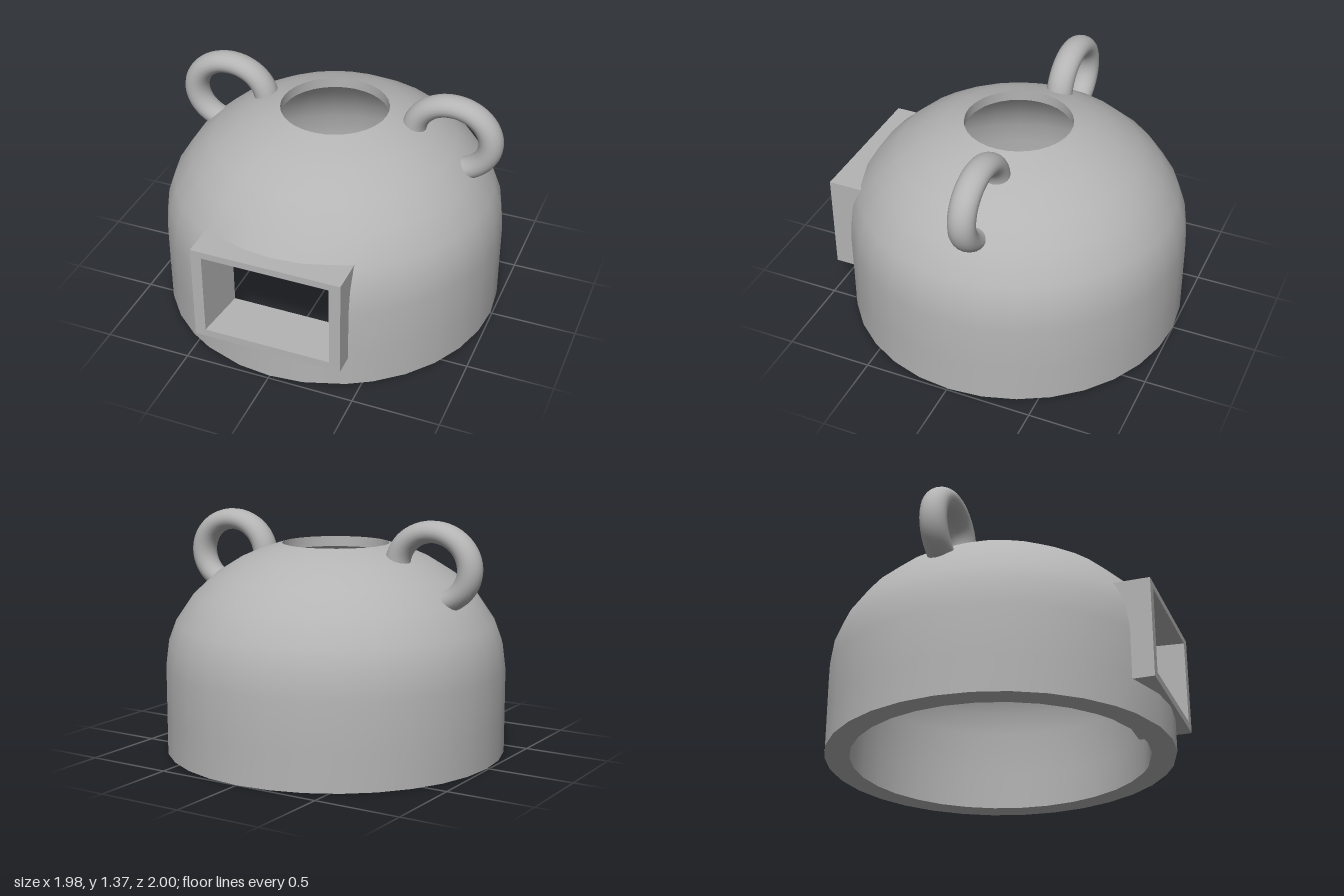
import * as THREE from 'three';
import { toCreasedNormals } from 'three/addons/utils/BufferGeometryUtils.js';

const SIDES = 32, SPRING = 0.49, HOLE = 0.31;
const rad = THREE.MathUtils.degToRad;

// Half profile of one skin: straight wall, then a squashed dome up to the top hole
function skin(radius, rise, cut) {
  const points = [[radius, 0, cut], [radius, 0.21, cut]];
  const end = THREE.MathUtils.radToDeg(Math.acos(HOLE / radius));
  for (const deg of [0, 11.25, 20.5, 33.75, 45, 56.25, 64, end]) {
    points.push([radius * Math.cos(rad(deg)), SPRING + rise * Math.sin(rad(deg)), cut]);
  }
  return points;
}

// Thick shell, open at the bottom, the top and behind the window frame
function shellGeometry() {
  const outer = skin(0.99, 0.75, 25);
  const inner = skin(0.85, 0.7, 27).reverse();
  const profile = [...outer, ...inner];
  const n = profile.length, positions = [], index = [];
  for (const [r, y, cut] of profile) {
    for (let i = 0; i < SIDES; i++) {
      let deg = i * 360 / SIDES;
      if (i === 2) deg = cut;
      if (i === SIDES - 2) deg = 360 - cut;
      positions.push(r * Math.sin(rad(deg)), y, r * Math.cos(rad(deg)));
    }
  }
  // Rings 1 to 4 of each skin bound the window
  const inWindow = (j) => (j >= 1 && j < 4) || (j >= n - 5 && j < n - 2);
  for (let j = 0; j < n; j++) {
    const k = (j + 1) % n;
    for (let i = 0; i < SIDES; i++) {
      if (inWindow(j) && (i < 2 || i >= SIDES - 2)) continue;
      const m = (i + 1) % SIDES;
      const a = j * SIDES + i, b = j * SIDES + m, c = k * SIDES + m, d = k * SIDES + i;
      index.push(a, b, c, a, c, d);
    }
  }
  const geometry = new THREE.BufferGeometry();
  geometry.setAttribute('position', new THREE.Float32BufferAttribute(positions, 3));
  geometry.setIndex(index);
  return toCreasedNormals(geometry, 0.6);
}

// Rectangular frame whose opening narrows slightly towards the back
function frameGeometry() {
  const rectangle = (target, x0, x1, y0, y1) => {
    target.moveTo(x0, y0);
    target.lineTo(x1, y0);
    target.lineTo(x1, y1);
    target.lineTo(x0, y1);
    target.closePath();
    return target;
  };
  const shape = rectangle(new THREE.Shape(), -0.435, 0.43, 0.19, 0.77);
  shape.holes.push(rectangle(new THREE.Path(), -0.372, 0.365, 0.235, 0.73));
  const geometry = new THREE.ExtrudeGeometry(shape, { depth: 0.31, bevelEnabled: false });
  const p = geometry.attributes.position;
  for (let i = 0; i < p.count; i++) {
    if (p.getZ(i) < 0.01 && Math.abs(p.getX(i)) < 0.4) p.setX(i, p.getX(i) * 0.905);
  }
  geometry.translate(0, 0, 0.69);
  geometry.computeVertexNormals();
  return geometry;
}

export function createModel() {
  const model = new THREE.Group();
  const grey = new THREE.MeshStandardMaterial({ color: 0xb4b4b4 });
  grey.name = 'grey';

  const add = (name, geometry) => {
    const mesh = new THREE.Mesh(geometry, grey);
    mesh.name = name;
    model.add(mesh);
    return mesh;
  };

  add('domeShell', shellGeometry()).position.z = -0.01;
  add('windowFrame', frameGeometry());

  // Ring handles whose ends are sunk into the dome wall
  const ring = new THREE.TorusGeometry(0.225, 0.07, 20, 40, rad(254));
  ring.rotateZ(rad(-72));
  ring.scale(1, 0.88, 1.1);
  for (const side of [1, -1]) {
    const handle = add(side > 0 ? 'leftHandle' : 'rightHandle', ring);
    handle.position.set(side * 0.675, 1.11, -0.075);
    if (side < 0) handle.rotation.y = Math.PI;
  }
  return model;
}
